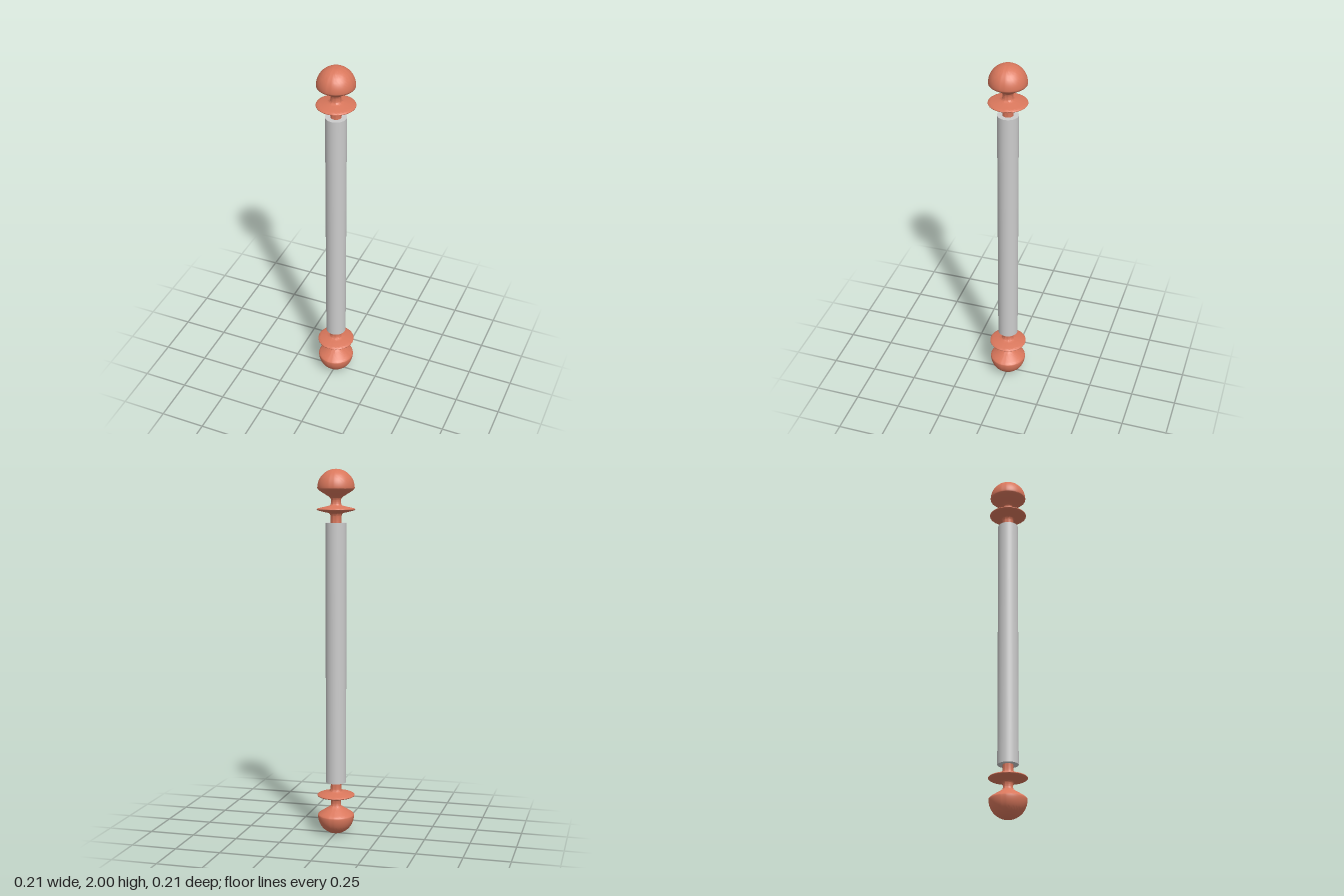
import * as THREE from 'three';
import { toCreasedNormals } from 'three/addons/utils/BufferGeometryUtils.js';

const ROD_BOTTOM = 0.29, ROD_TOP = 1.715, ROD_RADIUS = 0.056, SEGMENTS = 64;

// Turned finial profile, measured upward from the end of the rod
function finialGeometry() {
  const v = (r, y) => new THREE.Vector2(r, y);
  const p = [v(0, -0.01), v(0.03, -0.01)];
  const addCurve = (points, n) => p.push(...new THREE.SplineCurve(points).getPoints(n));
  // neck flaring into the thin collar
  addCurve([v(0.029, 0), v(0.03, 0.035), v(0.037, 0.05), v(0.065, 0.057), v(0.095, 0.065),
    v(0.103, 0.071), v(0.095, 0.077), v(0.06, 0.085), v(0.034, 0.092), v(0.028, 0.102),
    v(0.027, 0.122), v(0.034, 0.135), v(0.065, 0.155), v(0.091, 0.172), v(0.099, 0.179)], 56);
  // domed knob
  const y0 = 0.185, height = 0.1;
  for (let i = 0; i <= 16; i++) {
    const a = (i / 16) * Math.PI / 2;
    p.push(v(i === 16 ? 0 : 0.1 * Math.cos(a), y0 + height * Math.sin(a)));
  }
  return toCreasedNormals(new THREE.LatheGeometry(p, SEGMENTS), 0.7);
}

export function createModel() {
  const model = new THREE.Group();
  const grey = new THREE.MeshStandardMaterial({ color: 0xcccccc });
  const coral = new THREE.MeshStandardMaterial({ color: 0xd9775c });

  // Central rod
  const length = ROD_TOP - ROD_BOTTOM;
  const rod = new THREE.Mesh(
    new THREE.CylinderGeometry(ROD_RADIUS, ROD_RADIUS, length, SEGMENTS), grey);
  rod.name = 'rod';
  rod.position.y = ROD_BOTTOM + length / 2;
  model.add(rod);

  // Matching finials, the lower one turned upside down
  const geometry = finialGeometry();
  const upper = new THREE.Mesh(geometry, coral);
  upper.name = 'upperFinial';
  upper.position.y = ROD_TOP;
  const lower = new THREE.Mesh(geometry, coral);
  lower.name = 'lowerFinial';
  lower.position.y = ROD_BOTTOM;
  lower.rotation.x = Math.PI;
  lower.scale.y = ROD_BOTTOM / 0.285;
  model.add(upper, lower);

  return model;
}
